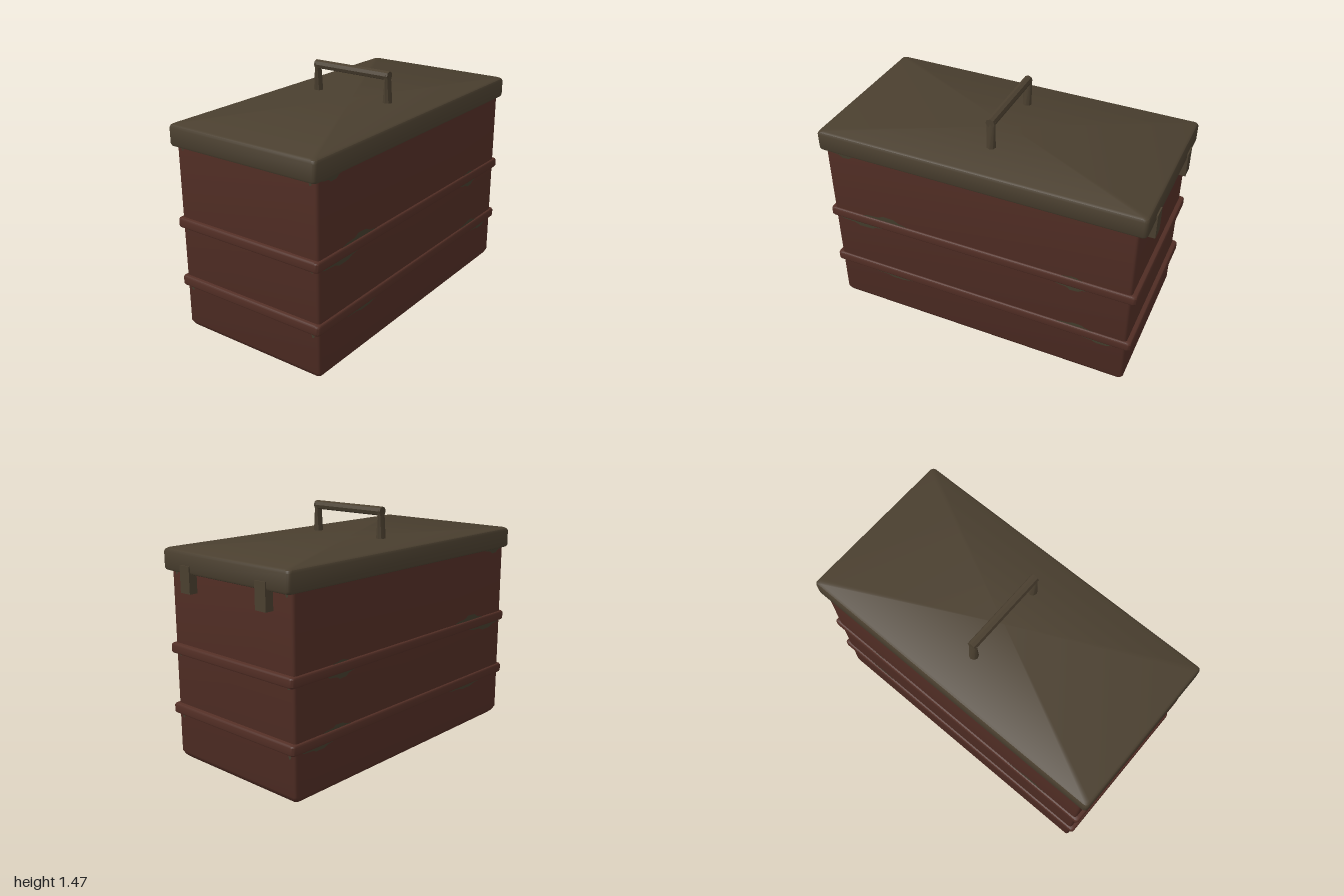
import * as THREE from 'three';
import { toCreasedNormals } from 'three/addons/utils/BufferGeometryUtils.js';

const red = new THREE.MeshStandardMaterial({ color: 0x522e25 });
red.name = 'rust red paint';
const olive = new THREE.MeshStandardMaterial({ color: 0x4a3f2f });
olive.name = 'dark olive metal';
const bare = new THREE.MeshStandardMaterial({ color: 0x423c2c });
bare.name = 'worn bare metal';

// Closed solid from rounded rectangles stacked upwards: sections are [y, inset]
function roundedStack(hx, hz, radius, sections) {
  const pos = [], idx = [], steps = 3, n = 4 * (steps + 1);
  for (const [y, inset] of sections) {
    for (let c = 0; c < 4; c++) {
      const sx = c === 0 || c === 3 ? 1 : -1, sz = c < 2 ? 1 : -1;
      for (let s = 0; s <= steps; s++) {
        const a = (c + s / steps) * Math.PI / 2;
        pos.push(sx * (hx - inset - radius) + radius * Math.cos(a), y,
          sz * (hz - inset - radius) + radius * Math.sin(a));
      }
    }
  }
  const last = sections.length - 1;
  for (let r = 0; r < last; r++) {
    for (let i = 0; i < n; i++) {
      const a = r * n + i, b = r * n + (i + 1) % n;
      idx.push(a, a + n, b, b, a + n, b + n);
    }
  }
  pos.push(0, sections[0][0], 0, 0, sections[last][0], 0);
  const low = (last + 1) * n;
  for (let i = 0; i < n; i++) {
    const j = (i + 1) % n;
    idx.push(low, i, j, low + 1, last * n + j, last * n + i);
  }
  const g = new THREE.BufferGeometry();
  g.setAttribute('position', new THREE.Float32BufferAttribute(pos, 3));
  g.setIndex(idx);
  return toCreasedNormals(g, 0.6);
}

// Ragged paint chip: flat side on the seam at y = 0, height signed
function chipGeometry(width, height) {
  const w = width / 2;
  return new THREE.ShapeGeometry(new THREE.Shape([
    [-w, 0], [-w * 0.75, height * 0.35], [-w * 0.3, height * 0.5], [-w * 0.1, height],
    [w * 0.35, height * 0.9], [w * 0.55, height * 0.4], [w, 0],
  ].map(p => new THREE.Vector2(...p))));
}

export function createModel() {
  const group = new THREE.Group();
  const add = (name, geometry, material, x = 0, y = 0, z = 0) => {
    const mesh = new THREE.Mesh(geometry, material);
    mesh.name = name;
    mesh.position.set(x, y, z);
    group.add(mesh);
    return mesh;
  };

  // Box with a softened bottom edge
  add('body', roundedStack(0.487, 0.953, 0.018,
    [[0, 0.05], [0.008, 0.03], [0.025, 0.012], [0.05, 0], [1.16, 0]]), red, 0, 0, 0.007);

  // Two raised bands
  for (const y of [0.29, 0.655]) {
    add('band', roundedStack(0.5, 0.98, 0.018,
      [[y, 0.012], [y + 0.004, 0.004], [y + 0.012, 0], [y + 0.05, 0], [y + 0.058, 0.004], [y + 0.062, 0.012]]),
      red, 0, 0, 0.005);
  }

  // Overhanging lid
  add('lid', roundedStack(0.506, 0.994, 0.022,
    [[1.142, 0.016], [1.147, 0.005], [1.158, 0], [1.25, 0], [1.263, 0.006], [1.27, 0.018]]),
    olive, 0, 0, 0.004);

  // Handle bar and its tapering legs
  const bar = new THREE.CylinderGeometry(0.027, 0.027, 0.53, 8);
  bar.rotateZ(Math.PI / 2);
  add('handleBar', toCreasedNormals(bar, 0.6), olive, 0, 1.443, 0);
  for (const side of [-1, 1]) {
    const leg = new THREE.CylinderGeometry(0.028, 0.028, 0.165, 8);
    const p = leg.attributes.position;
    for (let i = 0; i < p.count; i++) if (p.getY(i) > 0) p.setX(i, p.getX(i) * 0.4);
    leg.computeVertexNormals();
    add('handleLeg', toCreasedNormals(leg, 0.6), olive, side * 0.253, 1.3675, 0);
  }

  // Hinges at the back
  for (const side of [-1, 1]) {
    add('hinge', new THREE.BoxGeometry(0.08, 0.155, 0.054), olive, side * 0.305, 1.1125, -0.971);
  }

  // Worn paint along the seams of both long sides: [z, seam y, width, height]
  const sideChips = [
    [0.6, 0.716, 0.32, 0.035], [0.77, 0.656, 0.36, -0.03], [-0.6, 0.656, 0.22, -0.03],
    [-0.63, 0.351, 0.24, 0.024], [0.57, 0.291, 0.36, -0.02], [-0.78, 0.291, 0.26, -0.022],
    [0.84, 1.146, 0.2, -0.03], [-0.6, 0.716, 0.14, 0.014],
  ];
  for (const side of [-1, 1]) {
    for (const [z, y, w, h] of sideChips) {
      add('paintChip', chipGeometry(w, h), bare, side * 0.489, y, z).rotation.y = side * Math.PI / 2;
    }
  }

  // Small chips near the corners of the front and back
  for (const end of [-1, 1]) {
    for (const side of [-1, 1]) {
      for (const [y, h] of [[1.146, -0.028], [0.656, -0.015], [0.291, -0.03]]) {
        add('cornerChip', chipGeometry(0.05, h), bare, side * 0.444, y, 0.007 + end * 0.955)
          .rotation.y = end > 0 ? 0 : Math.PI;
      }
    }
  }
  bare.side = THREE.DoubleSide;
  return group;
}
